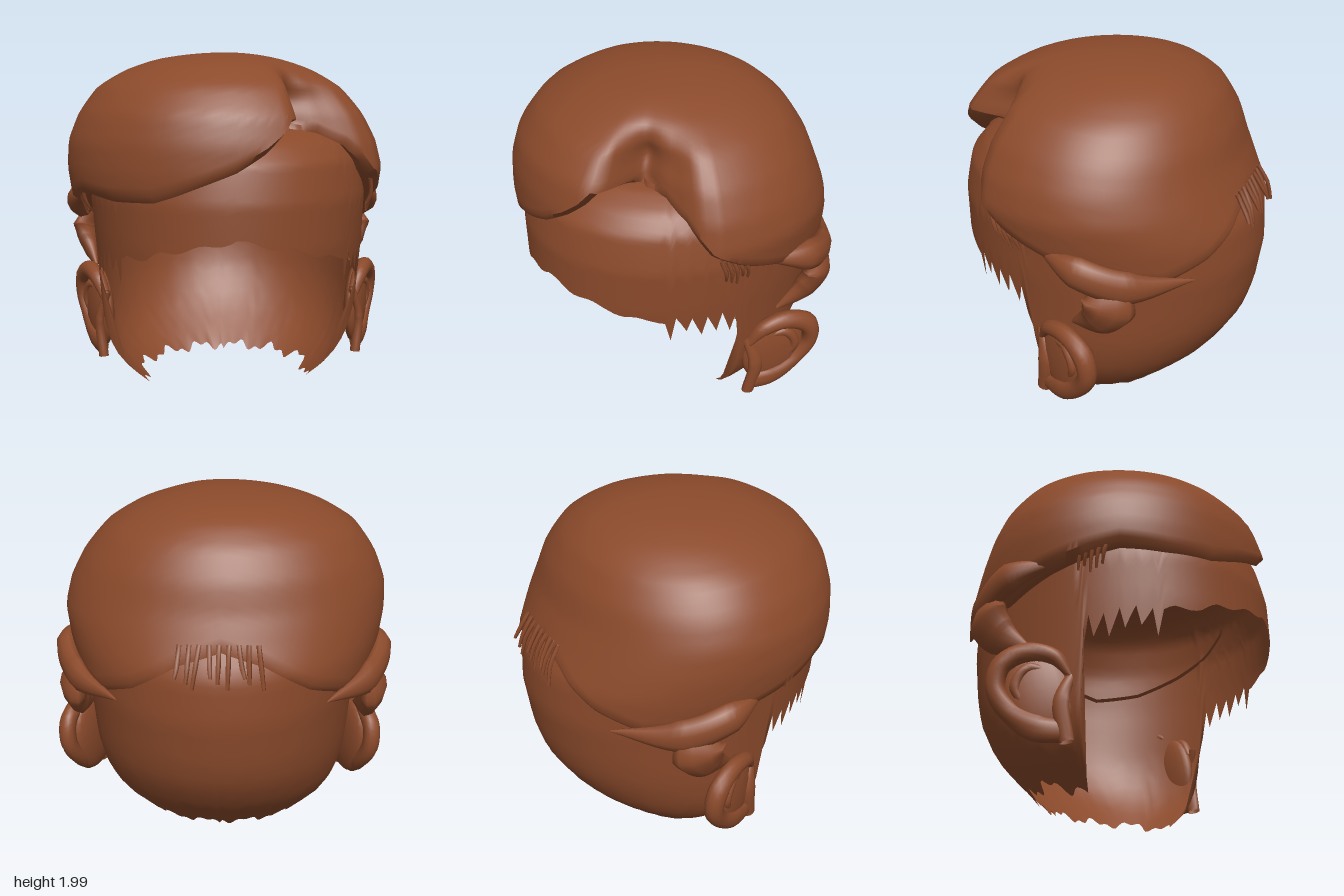
import * as THREE from 'three';
import { toCreasedNormals } from 'three/addons/utils/BufferGeometryUtils.js';

const material = new THREE.MeshStandardMaterial({ color: 0x8b4a2b, side: THREE.DoubleSide });
const rad = Math.PI / 180;

// Piecewise linear lookup in a list of [key, value]
function lookup(table, k) {
  let i = 0;
  while (i < table.length - 2 && k > table[i + 1][0]) i++;
  const [a, b] = [table[i], table[i + 1]];
  const t = THREE.MathUtils.clamp((k - a[0]) / (b[0] - a[0]), 0, 1);
  return a[1] + (b[1] - a[1]) * t;
}

// Horizontal sections: height, reach to +x, to -x, to the front, to the back
const skullSections = [
  [0, .45, .45, .6, .4], [.1, .56, .56, .7, .46], [.2, .65, .65, .8, .57], [.3, .71, .7, .83, .67],
  [.4, .75, .73, .85, .745], [.55, .78, .75, .87, .83], [.7, .79, .76, .88, .87], [.95, .81, .78, .9, .9],
  [1.2, .82, .8, .895, .88], [1.4, .78, .78, .85, .76], [1.5, .71, .71, .76, .65], [1.57, .56, .56, .63, .5],
  [1.62, 0, 0, 0, 0],
];
const hairSections = [
  [1, .86, .86, .9, .92], [1.2, .9, .91, .9, .885], [1.35, .92, .93, .91, .81], [1.5, .88, .92, .9, .74],
  [1.65, .8, .86, .86, .69], [1.8, .67, .75, .74, .6], [1.9, .5, .58, .57, .48], [1.96, .32, .4, .4, .33],
  [2, 0, 0, 0, 0],
];

// Radius of a section stack at a height and an azimuth (0 = front, 90 = +x)
function radius(sections, y, phi) {
  const top = sections[sections.length - 1][0];
  const s = (h) => Math.sqrt(Math.max(0, top - h));
  let i = 0;
  while (i < sections.length - 2 && y > sections[i + 1][0]) i++;
  const [a, b] = [sections[i], sections[i + 1]];
  const t = THREE.MathUtils.clamp((s(y) - s(a[0])) / (s(b[0]) - s(a[0])), 0, 1);
  const at = (c) => a[c] + (b[c] - a[c]) * t;
  const rx = Math.max(1e-4, at(phi > 0 ? 1 : 2));
  const rz = Math.max(1e-4, at(Math.abs(phi) < 90 ? 3 : 4));
  return 1 / Math.hypot(Math.sin(phi * rad) / rx, Math.cos(phi * rad) / rz);
}

// Indexed geometry with smooth normals
function build(pos, index) {
  const g = new THREE.BufferGeometry();
  g.setAttribute('position', new THREE.Float32BufferAttribute(pos, 3));
  g.setIndex(index);
  g.computeVertexNormals();
  return g;
}

// Grid closed round the vertical axis; point(phi, row) gives [radius, y]
function shell(columns, rows, point) {
  const pos = [], index = [];
  for (let c = 0; c < columns; c++) {
    const phi = -180 + (360 * c) / columns;
    for (let r = 0; r <= rows; r++) {
      const [d, y] = point(phi, r);
      pos.push(d * Math.sin(phi * rad), y, d * Math.cos(phi * rad));
      if (r === rows) continue;
      const a = c * (rows + 1) + r, b = ((c + 1) % columns) * (rows + 1) + r;
      index.push(a, b, b + 1, a, b + 1, a + 1);
    }
  }
  return build(pos, index);
}

// Tapering flattened tube; sizes are [height, thickness] along the path
function lock(path, sizes, sides = 10, steps = 24) {
  const curve = new THREE.CatmullRomCurve3(path.map((p) => new THREE.Vector3(...p)));
  const pos = [], index = [];
  for (let i = 0; i <= steps; i++) {
    const t = i / steps, c = curve.getPoint(t), tangent = curve.getTangent(t);
    const out = new THREE.Vector3(c.x, 0, c.z).normalize();
    const up = new THREE.Vector3().crossVectors(out, tangent).normalize();
    out.crossVectors(tangent, up);
    const f = t * (sizes.length - 1), k = Math.min(Math.floor(f), sizes.length - 2);
    const size = (n) => THREE.MathUtils.lerp(sizes[k][n], sizes[k + 1][n], f - k);
    for (let j = 0; j < sides; j++) {
      const a = (j / sides) * Math.PI * 2;
      const p = c.clone().addScaledVector(up, Math.cos(a) * size(0)).addScaledVector(out, Math.sin(a) * size(1));
      pos.push(p.x, p.y, p.z);
      if (i === steps) continue;
      const q = i * sides + j, n = i * sides + ((j + 1) % sides);
      index.push(q, n, n + sides, q, n + sides, q + sides);
    }
  }
  return build(pos, index);
}

function add(parent, name, geometry) {
  const mesh = new THREE.Mesh(geometry, material);
  mesh.name = name;
  parent.add(mesh);
  return mesh;
}

// Lower rim of the skull: brow, ragged sideburns, ear edge, ragged nape
const skullEdge = [
  [0, 1.03], [8, 1], [26, .95], [32, .91], [42, .9], [46, .88], [48, .74], [50, .9], [54, .8], [56, .9],
  [60, .77], [62, .89], [66, .75], [68, .88], [72, .74], [74, .86], [76, .68], [78, .15], [82, .03],
  [95, .05], [110, .08], [180, .09],
];
// Hairline round the head: swept fringe, exposed temple, falling behind the ears
const hairEdge = [
  [-180, 1.33], [-165, 1.26], [-148, 1.1], [-130, 1], [-110, 1.03], [-90, 1.12], [-62, 1.22], [-45, 1.2],
  [-28, 1.21], [-20, 1.25], [0, 1.37], [10, 1.46], [16, 1.53], [20, 1.6], [36, 1.57], [46, 1.55], [54, 1.48],
  [62, 1.32], [73, 1.22], [90, 1.12], [110, 1.03], [130, 1], [148, 1.1], [165, 1.26], [180, 1.33],
];
// How far the hair is drawn in at the parting beside the fringe
const hairDip = [
  [-180, 0], [18, 0], [22, .03], [25, .13], [28, .23], [32, .33], [35, .36], [39, .32], [43, .26], [50, .17],
  [58, .04], [64, 0], [180, 0],
];

function hairPoint(phi, row) {
  const edge = lookup(hairEdge, phi);
  const outer = (y) => radius(hairSections, y, phi) *
    (1 - lookup(hairDip, phi) * (1 - THREE.MathUtils.smoothstep(y, 1.7, 1.99)));
  const inner = radius(skullSections, edge, phi) - .02;
  if (row === 0) return [inner, edge + .03];
  if (row === 1) return [inner + .6 * Math.max(.02, outer(edge) - inner), edge];
  const y = edge + .035 + (1.965 - edge) * Math.sin(((row - 2) / 26) * Math.PI / 2);
  return [row === 28 ? 0 : outer(y), y];
}

export function createModel() {
  const model = new THREE.Group();
  model.name = 'headShell';

  add(model, 'skull', shell(180, 32, (phi, row) => {
    const a = Math.abs(phi);
    const ragged = a > 82 ? .015 * Math.sin(phi * .55) + .02 * Math.sin(phi * .23 + 1) : .012 * Math.sin(phi * .4);
    const edge = Math.max(0, lookup(skullEdge, a) + ragged);
    const y = edge + (1.62 - edge) * Math.sin((row / 32) * Math.PI / 2);
    return [row === 32 ? 0 : radius(skullSections, y, phi), y];
  }));
  add(model, 'sweptHair', toCreasedNormals(shell(180, 28, hairPoint), 0.9));

  // Ear and swept locks, the same on both sides
  for (const side of [1, -1]) {
    const half = new THREE.Group();
    half.name = side > 0 ? 'leftSide' : 'rightSide';
    half.scale.x = side;
    model.add(half);

    const ear = new THREE.Group();
    ear.name = 'ear';
    ear.position.x = side > 0 ? 0 : -.05;
    half.add(ear);
    const bowl = add(ear, 'earBowl', new THREE.SphereGeometry(1, 20, 14));
    bowl.scale.set(.06, .25, .19);
    bowl.position.set(.82, .47, -.06);
    bowl.rotation.set(-.2, -.42, 0, 'YXZ');
    add(ear, 'earRim', lock(
      [[.77, .56, .1], [.82, .66, .03], [.88, .69, -.1], [.93, .63, -.22], [.93, .5, -.25], [.89, .37, -.18], [.85, .28, -.05], [.79, .26, .08]],
      [[.02, .03], [.045, .045], [.055, .05], [.06, .05], [.055, .05], [.055, .05], [.07, .04], [.06, .03]], 12, 36));
    add(ear, 'earFold', lock(
      [[.82, .59, .0], [.88, .6, -.1], [.9, .5, -.15], [.86, .38, -.1]],
      [[.02, .02], [.03, .025], [.03, .03], [.02, .02]]));
    add(ear, 'earFront', lock([[.76, .6, .12], [.81, .42, .07], [.79, .2, .1]], [[.02, .02], [.05, .03], [.04, .03]]));

    add(half, 'sideLock', lock(
      [[.85, 1.17, .04], [.9, 1.12, -.18], [.81, 1.03, -.42], [.56, 1.01, -.7]],
      [[.02, .02], [.09, .07], [.1, .06], [.005, .005]]));
    add(half, 'earLock', lock(
      [[.83, 1.03, -.34], [.86, .92, -.34], [.84, .82, -.27], [.79, .72, -.1]],
      [[.1, .05], [.15, .07], [.11, .06], [.01, .01]]));

    // Loose strands under the hair at the temple
    for (let i = 0; i < 5; i++) {
      const z = .37 - i * .032, x = radius(skullSections, 1.2, 65) * .99 - (z - .25) * .25;
      add(half, 'templeStrand', lock(
        [[x, 1.29 - i * .01, z], [x + .015, 1.2, z - .03], [x - .01, 1.13 - (i % 3) * .02, z - .055]],
        [[.012, .012], [.013, .012], [.007, .007]], 5, 4));
    }
  }

  // Loose strands below the hair at the back
  for (let i = 0; i < 9; i++) {
    const x = -.19 + i * .05, lean = .02 * Math.sin(i * 2.3) + x * .15;
    add(model, 'backStrand', lock(
      [[x, 1.37, -.8], [x + lean * .5, 1.27, -.86], [x + lean, 1.16 + .03 * (i % 3), -.885]],
      [[.013, .012], [.014, .012], [.01, .009]], 5, 4));
  }
  return model;
}
